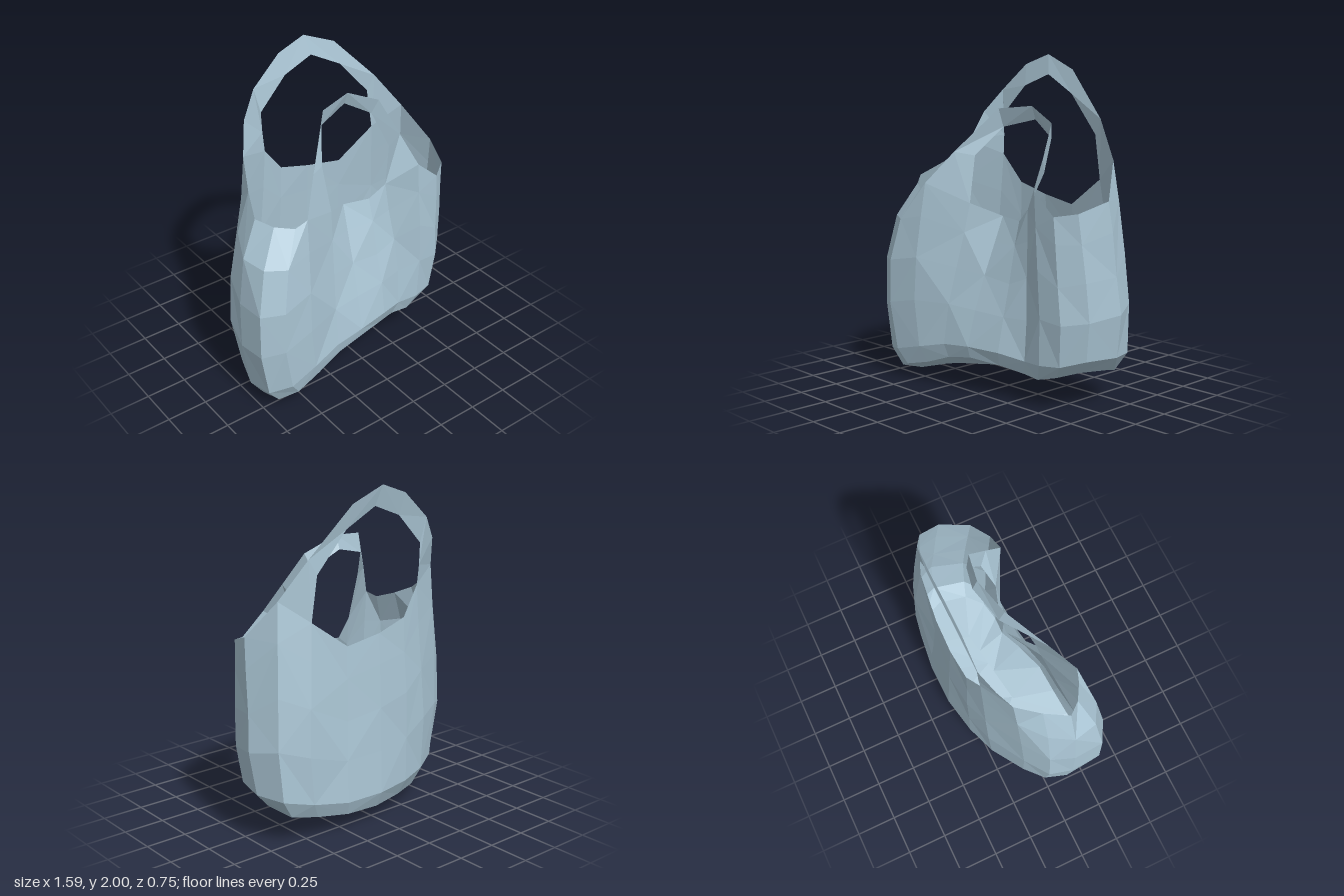
import * as THREE from 'three';

// Mouth of the bag, anticlockwise from the front left handle foot
const rim = [
  [-0.43, 1.23, 0.29], [-0.17, 1.12, 0.16], [0, 1.05, 0.05], [0.17, 1.04, 0.08], [0.27, 1.12, 0.11],
  [0.43, 1.25, 0.22], [0.58, 1.12, 0.22], [0.69, 1.14, 0.14], [0.75, 1.2, -0.04], [0.64, 1.41, -0.2],
  [0.47, 1.28, -0.28], [0.23, 1.11, -0.3], [0, 1.15, -0.31], [-0.2, 1.21, -0.3], [-0.33, 1.38, -0.27],
  [-0.54, 1.46, -0.17], [-0.61, 1.33, -0.02], [-0.67, 1.25, 0.13], [-0.6, 1.21, 0.21], [-0.5, 1.19, 0.27],
];

// Widest outline of the body: x, z, height of the base below it,
// and how long the wall holds that outline before leaning to the rim
const belly = [
  [-0.46, 0.36, 0.13, 2.5], [-0.26, 0.34, 0.19, 1], [-0.05, 0.33, 0.22, 1.1], [0.18, 0.27, 0.2, 1.1], [0.36, 0.21, 0.17, 1.1],
  [0.5, 0.22, 0.16, 1], [0.64, 0.19, 0.19, 1], [0.75, 0.08, 0.22, 1.5], [0.8, -0.13, 0.21, 1.5], [0.73, -0.3, 0.17, 1.5],
  [0.54, -0.35, 0.14, 2], [0.3, -0.39, 0.11, 0.8], [0.02, -0.38, 0.09, 0.8], [-0.24, -0.33, 0.09, 0.9], [-0.45, -0.26, 0.09, 1],
  [-0.66, -0.13, 0.09, 1.8], [-0.77, -0.02, 0.06, 4], [-0.8, 0.13, 0.0, 6], [-0.79, 0.32, 0.05, 5], [-0.66, 0.385, 0.09, 5],
];

// Rings from base to rim: height fraction, scale in x and z, crumple
const levels = [
  [0, 0.84, 0.84, 0], [0.09, 0.94, 0.97, 0.008], [0.34, 1, 1, 0.012],
  [0.58, 1, 1.01, 0.014], [0.82, 1, 1.01, 0.012], [1, 1, 1, 0],
];

// Handle strips as pairs of outer and inner edge points
const frontStrip = [
  [rim[0], rim[1]],
  [[-0.3, 1.42, 0.17], [-0.19, 1.4, 0.1]],
  [[-0.1, 1.68, -0.01], [-0.09, 1.57, -0.04]],
  [[0.12, 1.7, -0.07], [0.12, 1.62, -0.1]],
  [[0.32, 1.61, -0.03], [0.29, 1.52, -0.06]],
  [[0.38, 1.42, 0.1], [0.34, 1.33, 0.05]],
  [rim[5], rim[4]],
];
const backStrip = [
  [rim[9], rim[10]],
  [[0.48, 1.63, -0.27], [0.43, 1.54, -0.28]],
  [[0.21, 1.91, -0.32], [0.23, 1.77, -0.29]],
  [[0, 2, -0.33], [0.03, 1.88, -0.3]],
  [[-0.18, 1.94, -0.32], [-0.16, 1.81, -0.29]],
  [[-0.37, 1.78, -0.3], [-0.34, 1.63, -0.28]],
  [[-0.48, 1.64, -0.24], [-0.335, 1.5, -0.28]],
  [rim[15], rim[14]],
];

// Seeded noise for the crumples
function noise(seed) {
  const s = Math.sin(seed * 127.1) * 43758.5453;
  return (s - Math.floor(s)) * 2 - 1;
}

// Centre line of the skewed footprint
const spineZ = (x) => 0.02 - 0.17 * x;

function bodyRing([t, scaleX, scaleZ, crumple], r) {
  return belly.map(([x, z, base, hold], i) => {
    const [rx, ry, rz] = rim[i];
    const pull = t ** hold;
    const n = crumple * noise(r * belly.length + i + 1);
    const bx = THREE.MathUtils.clamp(x * (scaleX + n), -0.8, 0.8);
    const bz = spineZ(x) + (z - spineZ(x)) * (scaleZ + 2 * n);
    return [bx + (rx - bx) * pull, base + (ry - base) * t + n, bz + (rz - bz) * pull];
  });
}

// Skin between rows of points with alternating diagonals
function skin(rows, closed) {
  const points = [];
  for (let r = 0; r + 1 < rows.length; r++) {
    const n = rows[r].length;
    for (let i = 0; i < (closed ? n : n - 1); i++) {
      const j = (i + 1) % n;
      const [a, b, c, d] = [rows[r][i], rows[r][j], rows[r + 1][j], rows[r + 1][i]];
      const corners = (r + i) % 2 ? [a, b, c, a, c, d] : [a, b, d, b, c, d];
      points.push(...corners.flat());
    }
  }
  const geometry = new THREE.BufferGeometry();
  geometry.setAttribute('position', new THREE.Float32BufferAttribute(points, 3));
  geometry.computeVertexNormals();
  return geometry;
}

export function createModel() {
  const group = new THREE.Group();
  group.name = 'carrierBag';
  const film = new THREE.MeshStandardMaterial({ color: 0xaac5d4, flatShading: true, side: THREE.DoubleSide });

  const add = (name, geometry) => {
    const mesh = new THREE.Mesh(geometry, film);
    mesh.name = name;
    group.add(mesh);
  };

  // Open sack
  const rings = levels.map(bodyRing);
  add('body', skin(rings, true));

  // Underside gathered into a shallow fold along the spine
  const fold = rings[0].map(([x]) => [x * 0.6, 0.13 + 0.08 * x, spineZ(x * 0.6)]);
  add('underside', skin([fold, rings[0]], true));

  // Carrying loops
  add('frontHandle', skin(frontStrip, false));
  add('backHandle', skin(backStrip, false));

  return group;
}
